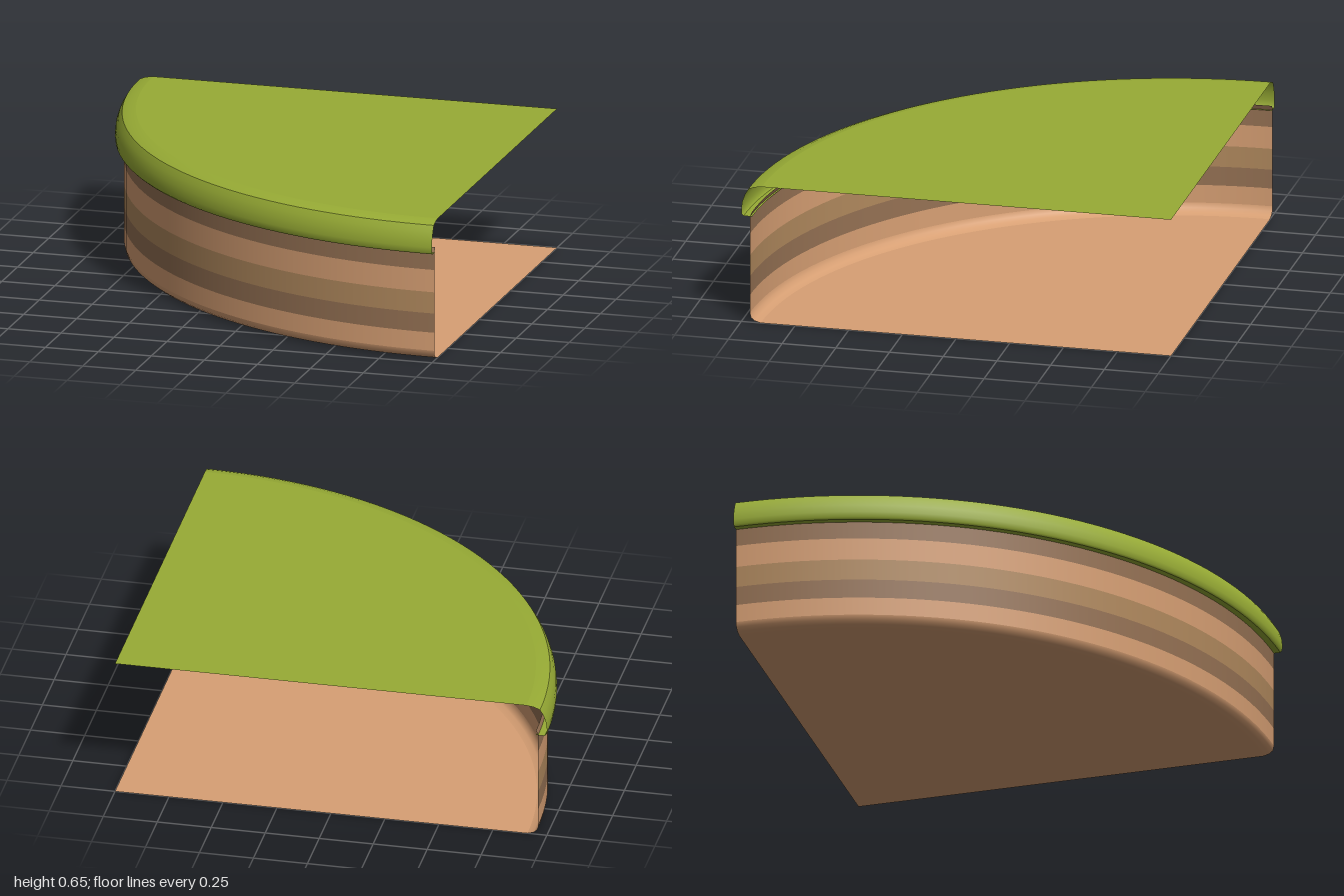
import * as THREE from 'three';

const LIGHT = 0xd8a074, MID = 0xb28a5e, DARK = 0x967254, GREEN = 0x98ac35;

export function createModel() {
  const model = new THREE.Group();
  model.name = 'roundedGroundCorner';

  // Quarter turn of a [radius, height] profile about the corner (1, -1)
  const sweep = (name, color, profile) => {
    const points = profile.map(([r, y]) => new THREE.Vector2(r, y));
    const geometry = new THREE.LatheGeometry(points, 40, Math.PI * 1.5, Math.PI / 2);
    const material = new THREE.MeshStandardMaterial({ color, side: THREE.DoubleSide });
    const mesh = new THREE.Mesh(geometry, material);
    mesh.name = name;
    mesh.position.set(1, 0, -1);
    model.add(mesh);
  };

  // Flat base and its rounded lower edge
  sweep('base', LIGHT, [[0, 0], [1.91, 0]]);
  sweep('baseBevel', LIGHT, [[1.91, 0], [1.938, 0.008], [1.955, 0.022], [1.96, 0.045]]);

  // Soil layers of the curved wall, open on both straight sides
  const layers = [
    [0.045, 0.13, LIGHT], [0.13, 0.22, DARK], [0.22, 0.32, MID],
    [0.32, 0.425, LIGHT], [0.425, 0.505, DARK],
  ];
  layers.forEach(([y0, y1, color], i) => sweep(`soilLayer${i + 1}`, color, [[1.96, y0], [1.96, y1]]));
  sweep('soilTopEdge', DARK, [[1.96, 0.505], [1.95, 0.53]]);

  // Grass cap: underside of the lip, rounded rim, sloped shoulder, flat top
  sweep('grassLip', GREEN, [[1.95, 0.507], [1.99, 0.507]]);
  sweep('grassRim', GREEN, [[1.99, 0.507], [1.998, 0.515], [2, 0.54], [1.996, 0.575], [1.984, 0.61], [1.968, 0.637]]);
  sweep('grassShoulder', GREEN, [[1.968, 0.637], [1.94, 0.648], [1.905, 0.653]]);
  sweep('grassTop', GREEN, [[1.905, 0.653], [0, 0.653]]);

  // Turn the flat faces outward: base down, top up
  return model;
}
